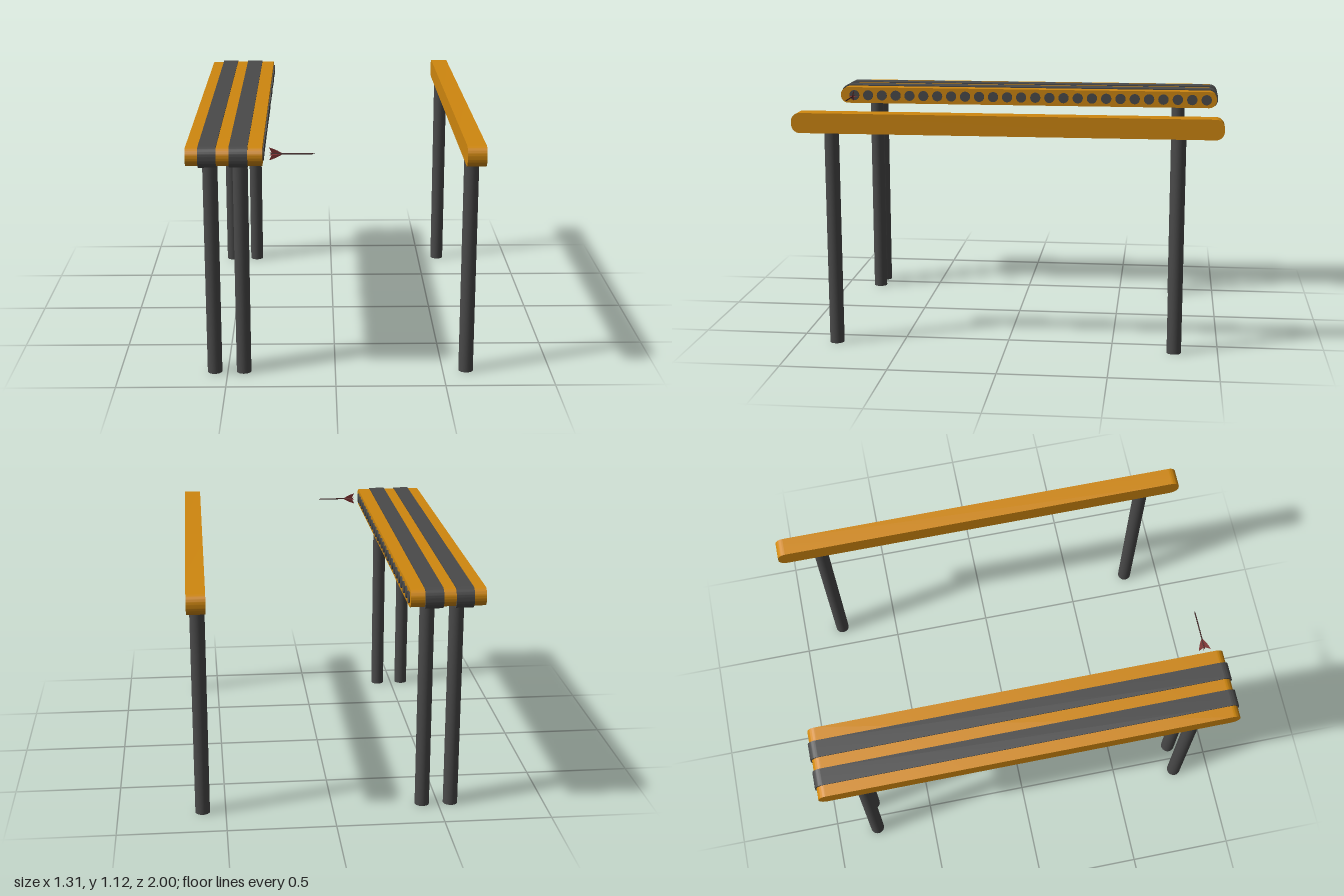
import * as THREE from 'three';
import { toCreasedNormals } from 'three/addons/utils/BufferGeometryUtils.js';

const material = (name, color, side = THREE.FrontSide) => {
  const m = new THREE.MeshStandardMaterial({ color, side });
  m.name = name;
  return m;
};

export function createModel() {
  const orange = material('orange', 0xcf870f);
  const grey = material('dark grey', 0x4a4a4a);
  const red = material('dark red', 0x7c3030, THREE.DoubleSide);
  const brown = material('dark brown', 0x3a1c1c);
  const model = new THREE.Group();

  const add = (name, geometry, mat, x, y, z, parent = model) => {
    const mesh = new THREE.Mesh(geometry, mat);
    mesh.name = name;
    mesh.position.set(x, y, z);
    parent.add(mesh);
    return mesh;
  };

  // Long bar along z with rounded ends, spanning x0..x1 and y0..y1
  const bar = (name, mat, x0, x1, y0, y1, half) => {
    const r = 0.04;
    const s = new THREE.Shape();
    s.moveTo(-half + r, y0);
    s.lineTo(half - r, y0);
    s.absarc(half - r, y0 + r, r, -Math.PI / 2, 0);
    s.absarc(half - r, y1 - r, r, 0, Math.PI / 2);
    s.absarc(-half + r, y1 - r, r, Math.PI / 2, Math.PI);
    s.absarc(-half + r, y0 + r, r, Math.PI, Math.PI * 1.5);
    let g = new THREE.ExtrudeGeometry(s, { depth: x1 - x0, bevelEnabled: false, curveSegments: 8 });
    g.rotateY(Math.PI / 2);
    g = toCreasedNormals(g, 0.6);
    add(name, g, mat, x0, 0, 0);
  };

  // Single rail, and the wide launcher with two raised bands
  bar('rail', orange, 0.57, 0.655, 1.023, 1.117, 1);
  bar('launcherBody', orange, -0.655, -0.32, 1.028, 1.112, 0.993);
  bar('outerBand', grey, -0.6, -0.521, 1.022, 1.117, 1);
  bar('innerBand', grey, -0.465, -0.384, 1.022, 1.117, 1);

  // Legs
  const legGeometry = new THREE.CylinderGeometry(0.034, 0.034, 1.03, 24);
  for (const x of [-0.56, -0.425, 0.608])
    for (const z of [0.82, -0.795]) add('leg', legGeometry, grey, x, 0.515, z);

  // Row of round ports on the inner face of the launcher
  const portGeometry = new THREE.CylinderGeometry(0.027, 0.027, 0.014, 16).rotateZ(Math.PI / 2);
  const ports = 26;
  for (let i = 0; i < ports; i++)
    add('port', portGeometry, grey, -0.322, 1.07, 0.92 - (i * 1.86) / (ports - 1));

  // Flying dart: shaft with a pointed tip and crossed swept fins
  const dart = new THREE.Group();
  dart.name = 'dart';
  dart.position.set(0, 1.07, 0.915);
  model.add(dart);
  const along = (g) => g.rotateZ(-Math.PI / 2);
  add('shaft', along(new THREE.CylinderGeometry(0.003, 0.003, 0.18, 8)), brown, -0.195, 0, 0, dart);
  add('tip', along(new THREE.ConeGeometry(0.003, 0.015, 8)), brown, -0.0975, 0, 0, dart);
  const fin = new THREE.Shape();
  fin.moveTo(-0.278, 0);
  fin.lineTo(-0.292, 0.029);
  fin.quadraticCurveTo(-0.262, 0.021, -0.23, 0);
  const finGeometry = new THREE.ShapeGeometry(fin, 5);
  for (let i = 0; i < 4; i++)
    add('fin', finGeometry, red, 0, 0, 0, dart).rotation.x = (i * Math.PI) / 2;

  return model;
}
